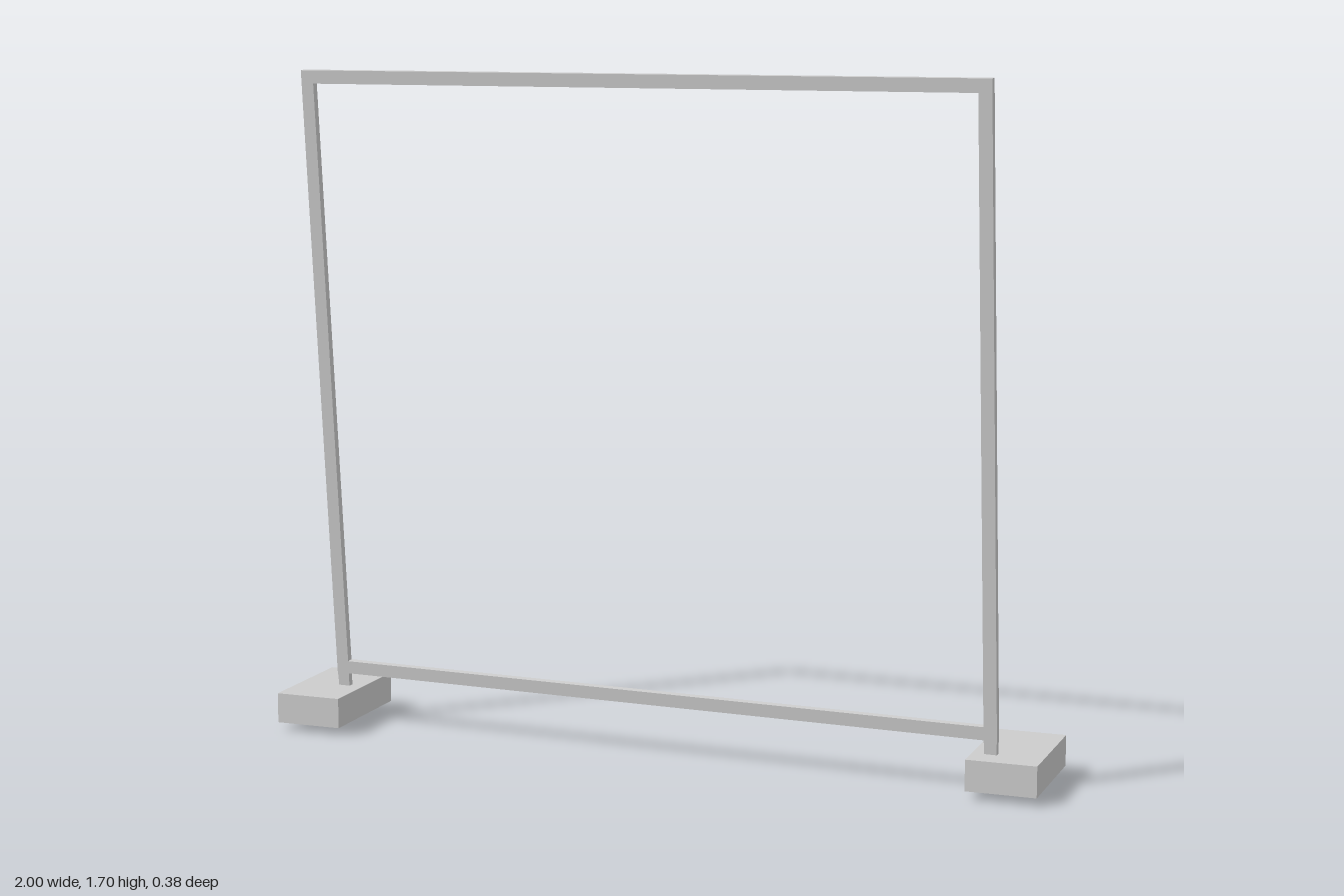
import * as THREE from 'three';

const material = new THREE.MeshStandardMaterial({ color: 0xcccccc, flatShading: true });
const shellMaterial = new THREE.MeshStandardMaterial({ color: 0xcccccc, flatShading: true, side: THREE.DoubleSide });

function bar(name, w, h, d, x, y) {
  const mesh = new THREE.Mesh(new THREE.BoxGeometry(w, h, d), material);
  mesh.name = name;
  mesh.position.set(x, y, 0);
  return mesh;
}

// Thin box shell, open underneath
function openBox(w, h, d) {
  const geometry = new THREE.BoxGeometry(w, h, d);
  const index = Array.from(geometry.index.array);
  index.splice(18, 6); // drop the bottom side
  geometry.setIndex(index);
  geometry.clearGroups();
  return geometry;
}

export function createModel() {
  const model = new THREE.Group();
  model.name = 'standingFrame';

  // Frame, leaning forward and turned slightly
  const frame = new THREE.Group();
  frame.name = 'frame';
  frame.rotation.set(0.0855, -0.0428, 0, 'YXZ');
  frame.position.set(-0.003, 0.001, -0.003);
  const postX = 0.876, tube = 0.033, depth = 0.018, top = 1.704;
  const span = 2 * postX - tube;
  frame.add(bar('topRail', span, tube, depth, 0, top - tube / 2));
  frame.add(bar('bottomRail', span, tube, depth, 0, 0.148));

  for (const [side, s] of [['left', 1], ['right', -1]]) {
    // Post with its lower end passing through the foot
    frame.add(bar(side + 'Post', tube, top - 0.125, depth, s * postX, (top + 0.125) / 2));
    frame.add(bar(side + 'PostEnd', 0.031, 0.125, 0.016, s * postX, 0.0625));

    // Hollow foot
    const foot = new THREE.Mesh(openBox(0.174, 0.077, 0.307), shellMaterial);
    foot.name = side + 'Foot';
    foot.position.set(s * 0.913, 0.0585, -0.0385);
    model.add(foot);
  }
  model.add(frame);
  return model;
}
